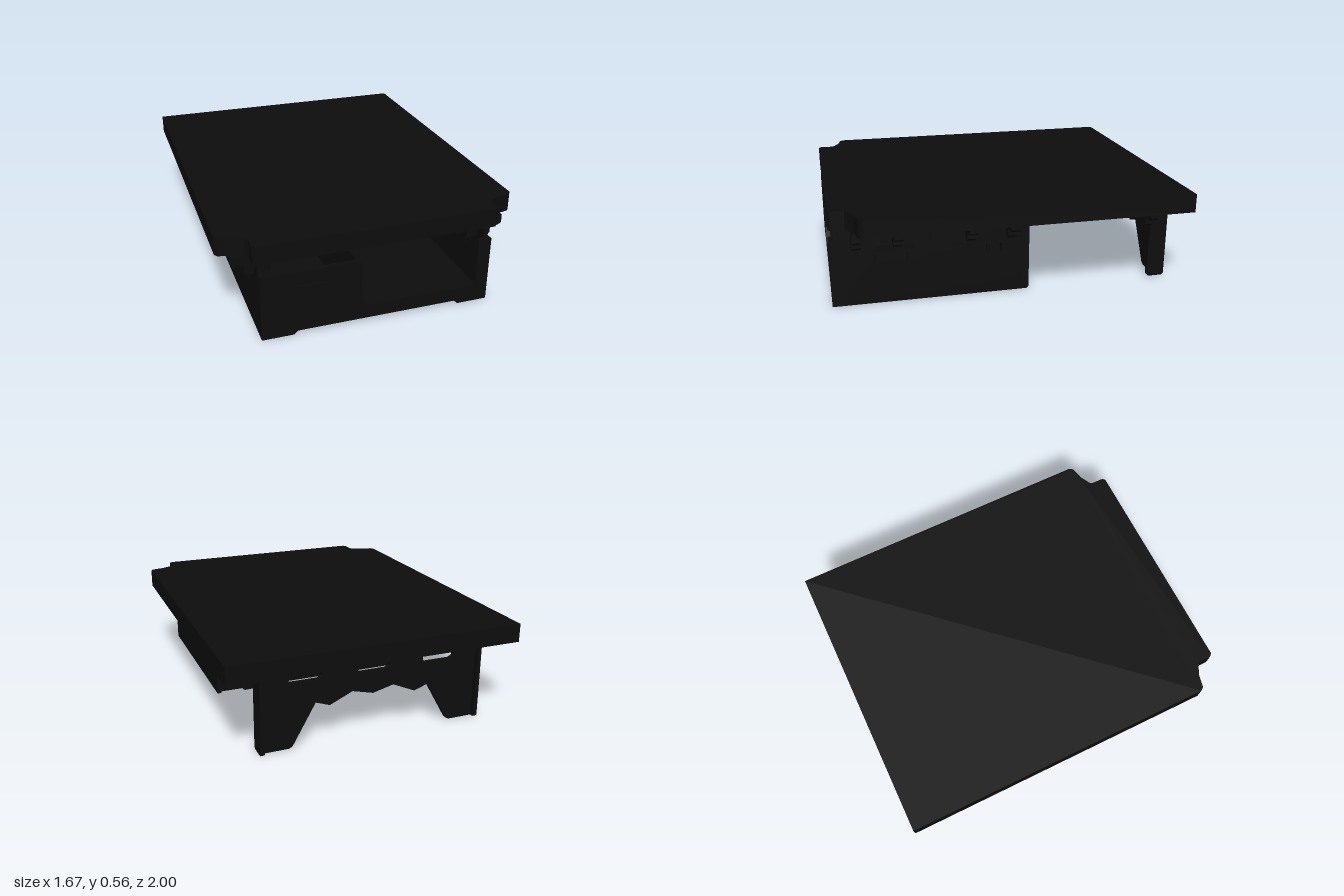
import * as THREE from 'three';

export function createModel() {
  const model = new THREE.Group();
  const black = new THREE.MeshStandardMaterial({ color: 0x0d0d0d });
  black.name = 'matte black';

  const add = (name, geometry, x = 0, y = 0, z = 0) => {
    const mesh = new THREE.Mesh(geometry, black);
    mesh.name = name;
    mesh.position.set(x, y, z);
    model.add(mesh);
    return mesh;
  };
  // Box given by its limits on each axis
  const box = (name, x0, x1, y0, y1, z0, z1) =>
    add(name, new THREE.BoxGeometry(x1 - x0, y1 - y0, z1 - z0),
      (x0 + x1) / 2, (y0 + y1) / 2, (z0 + z1) / 2);
  // Flat board cut from an outline with optional holes
  const board = (outline, depth, holes = []) => {
    const toPoints = (list) => list.map(([a, b]) => new THREE.Vector2(a, b));
    const shape = new THREE.Shape(toPoints(outline));
    holes.forEach((h) => shape.holes.push(new THREE.Path(toPoints(h))));
    return new THREE.ExtrudeGeometry(shape, { depth, bevelEnabled: false });
  };
  const rect = (a0, a1, b0, b1) => [[a0, b0], [a1, b0], [a1, b1], [a0, b1]];
  const mirrored = (half) => [...half, ...half.map(([x, y]) => [-x, y]).reverse()];

  // Top slab with notched front corners (outline in x and z)
  const topHalf = [[0.835, -1], [0.835, 0.83], [0.82, 0.85], [0.75, 0.865],
    [0.69, 0.895], [0.675, 0.91], [0.675, 0.985], [0.66, 1]];
  const top = add('top', board(mirrored(topHalf), 0.105), 0, 0.555, 0);
  top.rotation.x = Math.PI / 2;

  // Front panel with feet and a large opening at one side
  add('frontPanel', board([
    [-0.645, 0], [-0.47, 0], [-0.45, 0.02], [0.45, 0.02], [0.47, 0], [0.645, 0],
    [0.645, 0.38], [0.57, 0.38], [0.57, 0.12], [0.55, 0.1], [-0.08, 0.1],
    [-0.1, 0.19], [-0.1, 0.375], [-0.645, 0.375],
  ], 0.025, [rect(-0.46, -0.28, 0.285, 0.295)]), 0, 0, 0.975);

  // Storage box: floor, compartment wall and low back wall
  box('floor', -0.63, 0.63, 0.015, 0.04, -0.1, 0.98);
  box('compartmentWall', -0.125, -0.1, 0.03, 0.37, 0.2, 0.98);
  box('compartmentBack', -0.63, -0.1, 0.03, 0.35, 0.2, 0.225);
  add('backWall', board([
    [-0.63, 0.01], [0.63, 0.01], [0.63, 0.39], [0.54, 0.39], [0.5, 0.1],
    [-0.5, 0.1], [-0.54, 0.39], [-0.63, 0.39],
  ], 0.025), 0, 0, -0.09);

  // Side panels (outline in z and y) with cut-out ornaments
  const sideOutline = [[-0.1, 0.01], [-0.09, 0], [0.99, 0], [1, 0.01],
    [1, 0.38], [0.955, 0.38], [0.955, 0.45], [0.475, 0.45], [0.455, 0.41],
    [0.48, 0.335], [0.463, 0.335], [0.45, 0.385], [0.437, 0.335], [0.42, 0.335],
    [0.445, 0.41], [0.425, 0.45], [-0.065, 0.45], [-0.065, 0.39], [-0.1, 0.385]];
  const sideHoles = [
    [[0.78, 0.3], [0.55, 0.3], [0.555, 0.335], [0.64, 0.305], [0.72, 0.36]],
    [[0.345, 0.3], [0.335, 0.32], [0.26, 0.305], [0.17, 0.36], [0.12, 0.3]],
    ...[0.765, 0.59, 0.24, 0.15, 0.065].map((z) => rect(z - 0.007, z + 0.007, 0.24, 0.29)),
    rect(0.71, 0.745, 0.425, 0.438),
    rect(-0.04, -0.03, 0.075, 0.085),
  ];
  const sideGeometry = board(sideOutline, 0.022, sideHoles);

  // Stepped brackets under the overhang
  const corbelGeometry = board([[0.56, 0.34], [0.685, 0.335], [0.7, 0.35],
    [0.7, 0.39], [0.75, 0.39], [0.767, 0.405], [0.767, 0.45], [0.56, 0.45]], 0.05);

  for (const s of [-1, 1]) {
    const label = s > 0 ? 'left' : 'right';
    const side = add(label + 'SidePanel', sideGeometry, s > 0 ? 0.645 : -0.623, 0, 0);
    side.rotation.y = -Math.PI / 2;

    for (const z of [0.86, 0.64, 0.24, 0.01, -0.79]) {
      const corbel = add(label + 'Bracket', corbelGeometry, 0, 0, z + s * -0.025);
      if (s < 0) corbel.rotation.y = Math.PI;
    }

    // Rail under the top and the side flange of the rear leg
    box(label + 'Rail', s * 0.58 - 0.025, s * 0.58 + 0.025, 0.39, 0.45, -0.82, -0.07);
    const leg = add(label + 'LegFlange', board([[-0.93, 0.01], [-0.92, 0], [-0.835, 0],
      [-0.825, 0.01], [-0.825, 0.42], [-0.86, 0.45], [-0.93, 0.45]], 0.022),
    s > 0 ? 0.645 : -0.623, 0, 0);
    leg.rotation.y = -Math.PI / 2;
  }

  // Rear panel with two legs, a jagged lower edge and three slots
  const rearHalf = [[0, 0.24], [0.12, 0.27], [0.25, 0.212], [0.33, 0.24],
    [0.46, 0.01], [0.48, 0], [0.635, 0], [0.635, 0.45]];
  const rearOutline = [...rearHalf, ...rearHalf.slice(1).map(([x, y]) => [-x, y]).reverse()];
  add('rearPanel', board(rearOutline, 0.025,
    [-0.39, 0, 0.39].map((x) => [[x - 0.075, 0.37], [x + 0.075, 0.37], [x + 0.095, 0.385],
      [x + 0.095, 0.405], [x - 0.095, 0.405], [x - 0.095, 0.385]])), 0, 0, -0.9);

  // Cross beams and slats below the top
  for (const z of [-0.12, -0.2, -0.8]) box('crossBeam', -0.58, 0.58, 0.39, 0.45, z - 0.015, z + 0.015);
  for (let i = 0; i < 6; i++) {
    const z = -0.7 + i * 0.08;
    box('slat', -0.4, 0.4, 0.43, 0.45, z - 0.01, z + 0.01);
  }
  return model;
}
